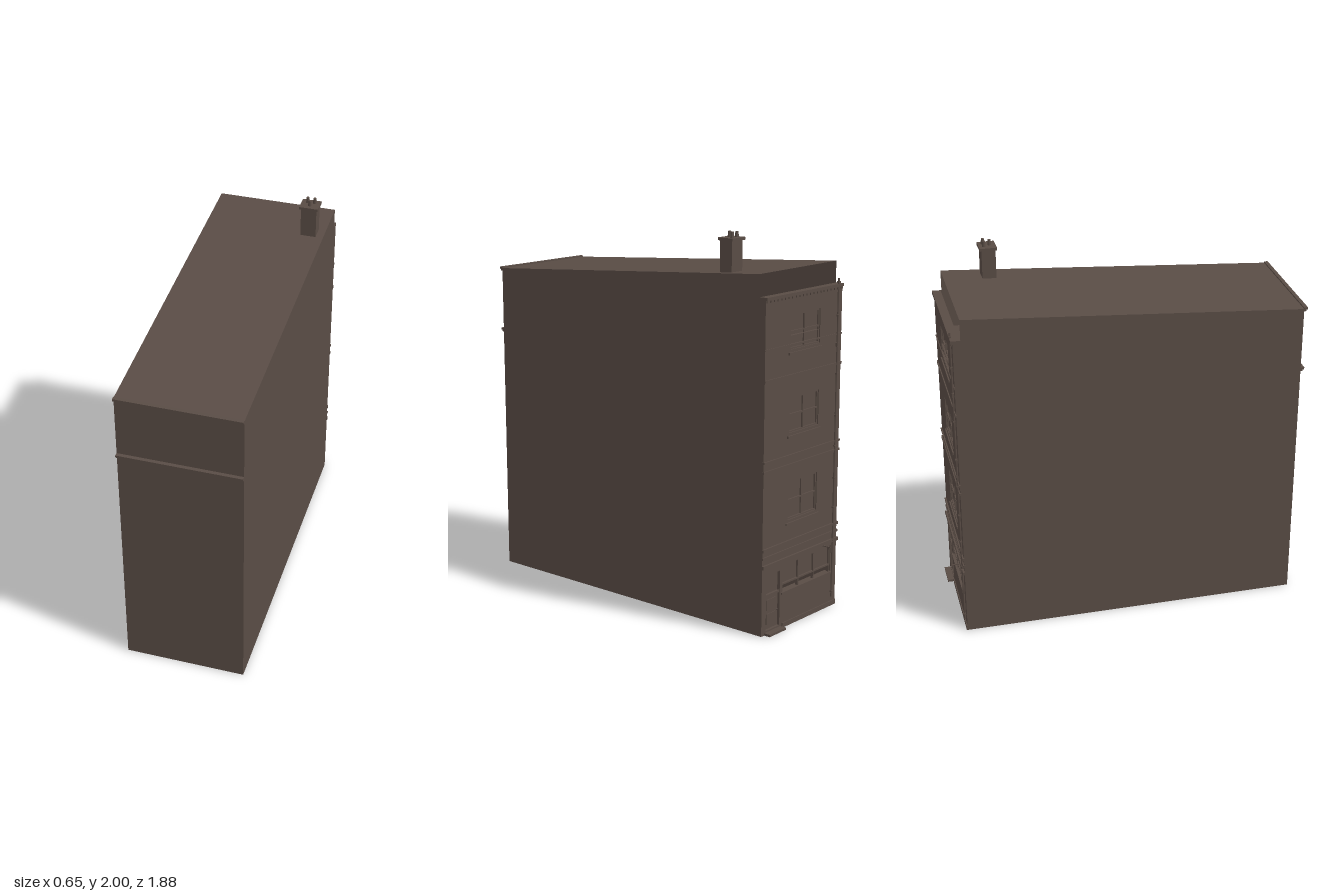
import * as THREE from 'three';

const brick = new THREE.MeshStandardMaterial({ color: 0x594c45, side: THREE.DoubleSide });
brick.name = 'brown brick';

const W = 0.32;       // half width
const FACE = -0.89;   // outer plane of the detailed facade
const FRONT = 0.92;   // plane of the plain wall

function add(parent, name, geometry, x = 0, y = 0, z = 0) {
  const mesh = new THREE.Mesh(geometry, brick);
  mesh.name = name;
  mesh.position.set(x, y, z);
  parent.add(mesh);
  return mesh;
}

// Box given by its limits on each axis
function block(parent, name, x0, x1, y0, y1, z0, z1) {
  return add(parent, name, new THREE.BoxGeometry(x1 - x0, y1 - y0, z1 - z0),
    (x0 + x1) / 2, (y0 + y1) / 2, (z0 + z1) / 2);
}

function rectHole(x0, x1, y0, y1) {
  return new THREE.Path([[x0, y0], [x0, y1], [x1, y1], [x1, y0]].map(p => new THREE.Vector2(...p)));
}

// Stack with a cap and three round pots
function chimney(parent, name, drop) {
  const g = new THREE.Group();
  g.name = name;
  block(g, 'chimneyStack', 0.197, 0.28, 1.79, 1.96, -0.65, -0.577);
  block(g, 'chimneyCap', 0.187, 0.288, 1.957, 1.971, -0.66, -0.57);
  for (const [x, z] of [[0.22, -0.633], [0.257, -0.633], [0.238, -0.602]])
    add(g, 'chimneyPot', new THREE.CylinderGeometry(0.008, 0.01, 0.032, 12), x, 1.984, z);
  g.position.y = -drop;
  parent.add(g);
}

// Sash window with two lights, set back in its opening
function sashWindow(parent, x0, x1, y0, y1) {
  const g = new THREE.Group();
  g.name = 'window';
  const mid = (x0 + x1) / 2, z0 = FACE + 0.006, z1 = FACE + 0.016, f = 0.008;
  block(g, 'pane', x0, x1, y0, y1, z1 - 0.002, z1);
  for (const x of [x0, mid - f / 2, x1 - f]) block(g, 'stile', x, x + f, y0, y1, z0, z1);
  for (const y of [y0, (y0 + y1) / 2 - f / 2, y1 - f]) block(g, 'rail', x0, x1, y, y + f, z0, z1);
  block(g, 'sill', x0 - 0.015, x1 + 0.015, y0 - 0.026, y0 - 0.014, FACE - 0.007, FACE);
  parent.add(g);
}

export function createModel() {
  const model = new THREE.Group();
  model.name = 'terraceBuilding';

  // Side walls: profile across depth, with a step at the eaves
  const profile = new THREE.Shape([[-FRONT, 0], [-FRONT, 1.69], [0.85, 1.82], [0.85, 1.71],
    [-FACE, 1.71], [-FACE, 0]].map(p => new THREE.Vector2(...p)));
  for (const s of [-1, 1]) {
    const wall = add(model, s > 0 ? 'leftWall' : 'rightWall', new THREE.ShapeGeometry(profile), s * W);
    wall.rotation.y = Math.PI / 2;
  }
  add(model, 'plainWall', new THREE.PlaneGeometry(2 * W, 1.69), 0, 0.845, FRONT);

  // Sloping roof, open beneath its raised edge, over a lower flat deck
  const slope = Math.atan2(0.13, 1.77);
  const roof = add(model, 'roof', new THREE.PlaneGeometry(2 * W, Math.hypot(0.13, 1.77)), 0, 1.755, 0.035);
  roof.rotation.x = -Math.PI / 2 + slope;
  const deck = add(model, 'innerDeck', new THREE.PlaneGeometry(2 * W, FRONT - FACE), 0, 1.5, (FRONT + FACE) / 2);
  deck.rotation.x = -Math.PI / 2;
  chimney(model, 'chimney', 0);
  chimney(model, 'innerChimney', 0.33);

  // Two stepped mouldings on the plain wall
  for (const y of [1.685, 1.345]) {
    block(model, 'moulding', -W, W, y, y + 0.012, FRONT, FRONT + 0.02);
    block(model, 'mouldingFoot', -W, W, y - 0.008, y, FRONT, FRONT + 0.012);
  }

  // Facade with openings for windows, door and shop front
  const windows = [[0.56, 0.76], [1.01, 1.19], [1.43, 1.605]];
  const wx0 = -0.133, wx1 = 0.115;
  const outline = new THREE.Shape([[-W, 0], [W, 0], [W, 1.71], [-W, 1.71]].map(p => new THREE.Vector2(...p)));
  for (const [y0, y1] of windows) outline.holes.push(rectHole(wx0, wx1, y0, y1));
  outline.holes.push(rectHole(0.17, 0.285, 0.02, 0.31), rectHole(-0.27, 0.15, 0.19, 0.335));
  add(model, 'facade', new THREE.ExtrudeGeometry(outline, { depth: 0.035, bevelEnabled: false }), 0, 0, FACE);
  for (const [y0, y1] of windows) sashWindow(model, wx0, wx1, y0, y1);

  // String courses: bottom, top, projection
  for (const [y0, y1, d] of [[1.45, 1.458, 0.004], [1.295, 1.307, 0.006], [0.89, 0.9, 0.007],
    [0.84, 0.852, 0.006], [0.44, 0.455, 0.008], [0.4, 0.412, 0.006], [0.352, 0.37, 0.01]])
    block(model, 'stringCourse', -W - 0.003, W + 0.003, y0, y1, FACE - d, FACE + 0.005);

  // Parapet cornice with dentils
  block(model, 'cornice', -W, W, 1.695, 1.711, FACE - 0.01, FACE);
  for (let i = 0; i < 22; i++) {
    const x = -0.31 + i * 0.0295;
    block(model, 'dentil', x - 0.006, x + 0.006, 1.683, 1.695, FACE - 0.006, FACE);
  }

  // Door with fanlight and step
  block(model, 'door', 0.17, 0.285, 0.02, 0.2, FACE + 0.014, FACE + 0.02);
  block(model, 'fanlight', 0.17, 0.285, 0.2, 0.31, FACE + 0.016, FACE + 0.02);
  block(model, 'doorTransom', 0.17, 0.285, 0.195, 0.207, FACE + 0.004, FACE + 0.02);
  for (const y of [0.045, 0.12]) block(model, 'doorPanel', 0.19, 0.265, y, y + 0.055, FACE + 0.01, FACE + 0.014);
  add(model, 'doorKnob', new THREE.SphereGeometry(0.004, 8, 6), 0.18, 0.108, FACE + 0.01);
  block(model, 'doorStep', 0.16, 0.295, 0, 0.012, FACE - 0.035, FACE);

  // Shop front: upper lights above an open slot
  block(model, 'shopLights', -0.27, 0.15, 0.225, 0.335, FACE + 0.014, FACE + 0.018);
  for (const x of [-0.27, -0.13, 0.005, 0.142]) block(model, 'shopMullion', x, x + 0.008, 0.19, 0.335, FACE + 0.004, FACE + 0.018);
  for (const y of [0.225, 0.327]) block(model, 'shopRail', -0.27, 0.15, y, y + 0.008, FACE + 0.004, FACE + 0.018);
  block(model, 'shopSill', -0.28, 0.16, 0.18, 0.19, FACE - 0.006, FACE);
  block(model, 'plinth', -W, 0.15, 0, 0.025, FACE - 0.005, FACE);

  // Downpipe with hopper and clips
  add(model, 'downpipe', new THREE.CylinderGeometry(0.005, 0.005, 1.69, 10), -0.28, 0.895, FACE - 0.006);
  block(model, 'hopper', -0.29, -0.27, 1.39, 1.41, FACE - 0.012, FACE);
  for (const y of [0.08, 0.36, 0.54, 0.7, 0.87, 1.03, 1.25, 1.55, 1.72])
    block(model, 'pipeClip', -0.288, -0.272, y - 0.004, y + 0.004, FACE - 0.013, FACE);

  // Projecting bracket
  block(model, 'bracketArm', -0.203, -0.198, 0.346, 0.351, -0.94, FACE);
  block(model, 'bracketDrop', -0.203, -0.198, 0.32, 0.346, -0.94, -0.936);
  return model;
}
